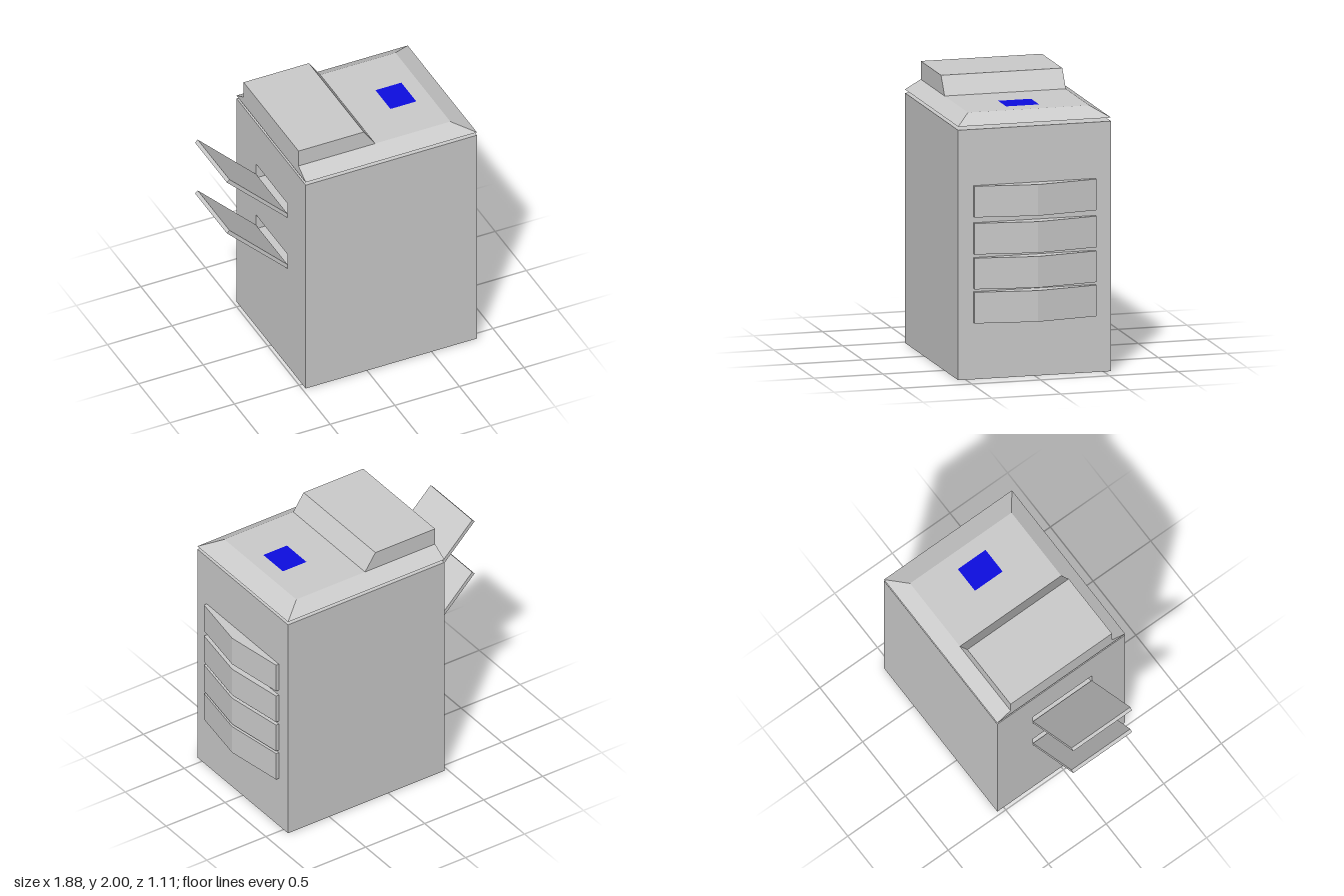
import * as THREE from 'three';

const grey = new THREE.MeshStandardMaterial({ color: 0xcccccc, flatShading: true });
const blue = new THREE.MeshStandardMaterial({ color: 0x0d0de0 });

const outline = (points) => new THREE.Shape(points.map(([x, y]) => new THREE.Vector2(x, y)));
const extrude = (shape, depth) => new THREE.ExtrudeGeometry(shape, { depth, bevelEnabled: false });

export function createModel() {
  const model = new THREE.Group();
  const add = (name, geometry, material = grey) => {
    const mesh = new THREE.Mesh(geometry, material);
    mesh.name = name;
    model.add(mesh);
    return mesh;
  };

  const left = 0.85, right = -0.475, halfDepth = 0.555, bodyTop = 1.78;
  const slotDepth = 0.3, trayZ = [-0.245, 0.265], trayHeights = [0.85, 1.295];

  // Main cabinet, solid behind the paper slots
  const solidWidth = left - right - slotDepth;
  add('cabinet', new THREE.BoxGeometry(solidWidth, bodyTop, halfDepth * 2)
    .translate(left - solidWidth / 2, bodyTop / 2, 0));

  // Output side of the cabinet, pierced by the two slots (drawn in z, y)
  const side = outline([[-halfDepth, 0], [halfDepth, 0], [halfDepth, bodyTop], [-halfDepth, bodyTop]]);
  for (const y of trayHeights) {
    side.holes.push(outline([
      [trayZ[0], y], [trayZ[0], y + 0.125], [trayZ[1], y + 0.125], [trayZ[1], y],
    ]));
  }
  add('outputSide', extrude(side, slotDepth).rotateY(-Math.PI / 2).translate(right + slotDepth, 0, 0));

  // Sloping output trays
  for (const y of trayHeights) {
    const profile = outline([
      [right, y], [right, y + 0.036], [-0.925, y + 0.485], [-0.945, y + 0.465],
    ]);
    add('outputTray', extrude(profile, trayZ[1] - trayZ[0]).translate(0, 0, trayZ[0]));
  }

  // Lid, tapered on three sides
  const lid = new THREE.BoxGeometry(left - right, 0.065, halfDepth * 2)
    .translate((left + right) / 2, 1.8375, 0);
  const p = lid.attributes.position;
  for (let i = 0; i < p.count; i++) {
    if (p.getY(i) < 1.84) continue;
    p.setZ(i, Math.sign(p.getZ(i)) * 0.44);
    if (p.getX(i) > 0) p.setX(i, 0.7);
  }
  lid.computeVertexNormals();
  add('lid', lid);

  // Document feeder with a slanted end
  const feeder = outline([[right, 1.87], [0.118, 1.87], [0.03, 2], [right, 2]]);
  add('documentFeeder', extrude(feeder, 0.88).translate(0, 0, -0.44));

  // Blue screen lying on the lid
  add('screen', new THREE.PlaneGeometry(0.2, 0.24).rotateX(-Math.PI / 2)
    .translate(0.486, 1.872, 0.01), blue);

  // Paper drawers with pointed fronts (drawn in plan)
  const plan = outline([[left, -0.442], [0.873, -0.442], [0.94, 0], [0.873, 0.442], [left, 0.442]]);
  for (const y of [0.402, 0.645, 0.893, 1.157]) {
    add('paperDrawer', extrude(plan, 0.222).rotateX(-Math.PI / 2).translate(0, y, 0));
  }

  return model;
}
